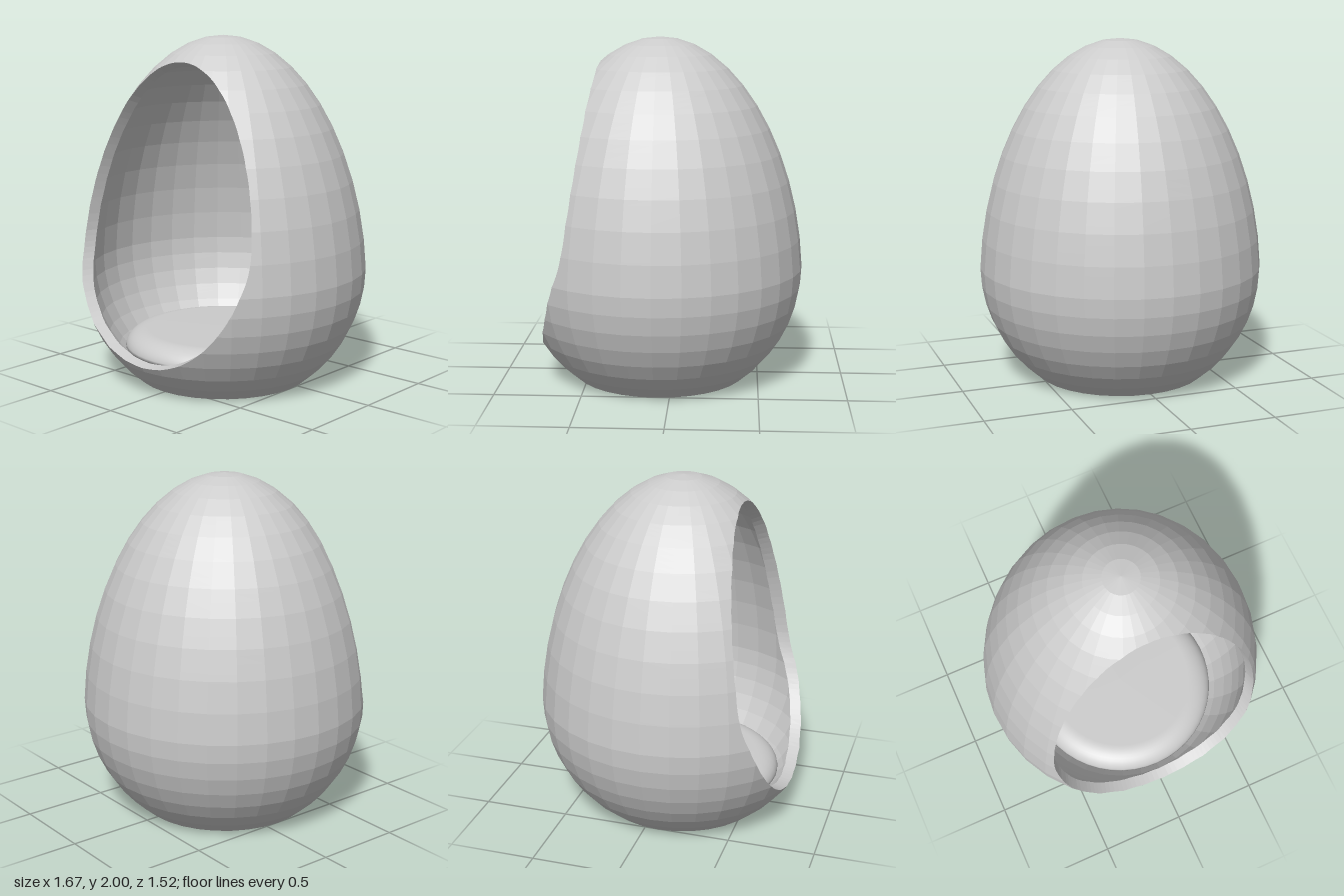
import * as THREE from 'three';

const AXIS_Z = 0.08; // the egg axis sits slightly forward of the centre
const COLS = 32;
const RINGS = 24;
const RIM_STEPS = 64;
const grey = () => new THREE.MeshStandardMaterial({ color: 0xcccccc });

// Egg outline: half width at height y, blunt below its waist and tapered above
function eggWidth({ width, waist, top, bottom }, y) {
  const t = y > waist ? (y - waist) / (top - waist) : (waist - y) / (waist - bottom);
  return width * Math.sqrt(Math.max(0, 1 - t * t)) * (y > waist ? 1 - 0.07 * t : 1);
}

// Heights spaced evenly by angle along an egg outline, from bottom to top
function eggHeights({ waist, top, bottom }, steps) {
  return Array.from({ length: steps + 1 }, (_, i) => {
    const s = -Math.cos((i / steps) * Math.PI);
    return waist + s * (s > 0 ? top - waist : waist - bottom);
  });
}

const outer = { width: 0.835, waist: 0.66, top: 2, bottom: -0.168 };
const inner = { width: 0.775, waist: 0.66, top: 1.945, bottom: -0.11 };
const outerMouth = { width: 0.645, waist: 0.85, top: 1.86, bottom: 0.185 };
const innerMouth = { width: 0.624, waist: 0.85, top: 1.832, bottom: 0.196 };

// One faceted egg skin, cut flat at the floor and open at the mouth
function makeSkin(egg, mouth, floorY) {
  const rings = [floorY, ...eggHeights(egg, RINGS).filter((y) => y > floorY + 0.02)];
  const radii = rings.map((y) => eggWidth(egg, y));

  // Radius along the straight facets between the rings
  const radiusAt = (y) => {
    let i = 0;
    while (i < rings.length - 2 && y > rings[i + 1]) i++;
    return THREE.MathUtils.lerp(radii[i], radii[i + 1], (y - rings[i]) / (rings[i + 1] - rings[i]));
  };
  const step = (Math.PI * 2) / COLS;
  const point = (y, angle) => {
    const offset = angle - (Math.floor(angle / step) + 0.5) * step;
    const r = radiusAt(y) * Math.cos(step / 2) / Math.cos(offset);
    return new THREE.Vector3(r * Math.sin(angle), y, AXIS_Z + r * Math.cos(angle));
  };
  const mouthAngle = (y) => {
    if (y <= mouth.bottom || y >= mouth.top) return 0;
    return Math.asin(Math.min(1, eggWidth(mouth, y) / radiusAt(y)));
  };

  // Columns that would cross the mouth are gathered onto its edge
  const mouthRows = eggHeights(mouth, RIM_STEPS);
  const rows = [...rings, ...mouthRows].sort((a, b) => a - b).map((y) => {
    const a = mouthAngle(y);
    return Array.from({ length: COLS + 1 }, (_, j) =>
      point(y, THREE.MathUtils.clamp(j * step, a, Math.PI * 2 - a)));
  });
  const rim = mouthRows.map((y) => point(y, mouthAngle(y)));
  return { rows, rim, floor: rows[0] };
}

// Collects triangles, leaving out collapsed ones
function meshFrom(name, build) {
  const positions = [];
  const tri = (a, b, c) => {
    const area = b.clone().sub(a).cross(c.clone().sub(a)).length();
    if (area > 1e-8) for (const p of [a, b, c]) positions.push(p.x, p.y, p.z);
  };
  build((a, b, c, d) => { tri(a, b, c); tri(a, c, d); }, tri);
  const geometry = new THREE.BufferGeometry();
  geometry.setAttribute('position', new THREE.Float32BufferAttribute(positions, 3));
  geometry.computeVertexNormals();
  const material = grey();
  material.flatShading = true;
  const mesh = new THREE.Mesh(geometry, material);
  mesh.name = name;
  return mesh;
}

// Skin with its floor disc; inward turns every face round
function skinMesh(name, skin, inward) {
  return meshFrom(name, (quad, tri) => {
    const { rows, floor } = skin;
    for (let i = 0; i < rows.length - 1; i++) {
      for (let j = 0; j < COLS; j++) {
        const a = rows[i][j], b = rows[i][j + 1], c = rows[i + 1][j + 1], d = rows[i + 1][j];
        // Mirror the diagonal so both halves match
        if (j < COLS / 2) inward ? quad(a, d, c, b) : quad(a, b, c, d);
        else inward ? quad(b, a, d, c) : quad(b, c, d, a);
      }
    }
    const centre = new THREE.Vector3(0, floor[0].y, AXIS_Z);
    for (let j = 0; j < COLS; j++) {
      if (inward) tri(centre, floor[j], floor[j + 1]);
      else tri(centre, floor[j + 1], floor[j]);
    }
  });
}

export function createModel() {
  const group = new THREE.Group();
  group.name = 'eggChair';

  // Outer and inner skins of the shell
  const outside = makeSkin(outer, outerMouth, 0);
  const inside = makeSkin(inner, innerMouth, 0.06);
  group.add(skinMesh('outerShell', outside, false), skinMesh('innerShell', inside, true));

  // Rim joining the two skins around the mouth
  const mirror = (p) => new THREE.Vector3(-p.x, p.y, p.z);
  group.add(meshFrom('openingRim', (quad) => {
    for (let k = 0; k < RIM_STEPS; k++) {
      const a = outside.rim[k], b = outside.rim[k + 1];
      const c = inside.rim[k + 1], d = inside.rim[k];
      quad(a, b, c, d);
      quad(mirror(d), mirror(c), mirror(b), mirror(a));
    }
  }));

  // Round seat cushion with a soft rolled edge
  const profile = [new THREE.Vector2(0, 0.08), new THREE.Vector2(0.48, 0.08)];
  for (let i = 0; i <= 10; i++) {
    const a = (i / 10) * Math.PI / 2;
    profile.push(new THREE.Vector2(0.44 + 0.14 * Math.cos(a), 0.18 + 0.1 * Math.sin(a)));
  }
  profile.push(new THREE.Vector2(0, 0.283));
  const cushion = new THREE.Mesh(new THREE.LatheGeometry(profile, 48), grey());
  cushion.name = 'seatCushion';
  cushion.position.z = AXIS_Z;
  group.add(cushion);

  return group;
}
